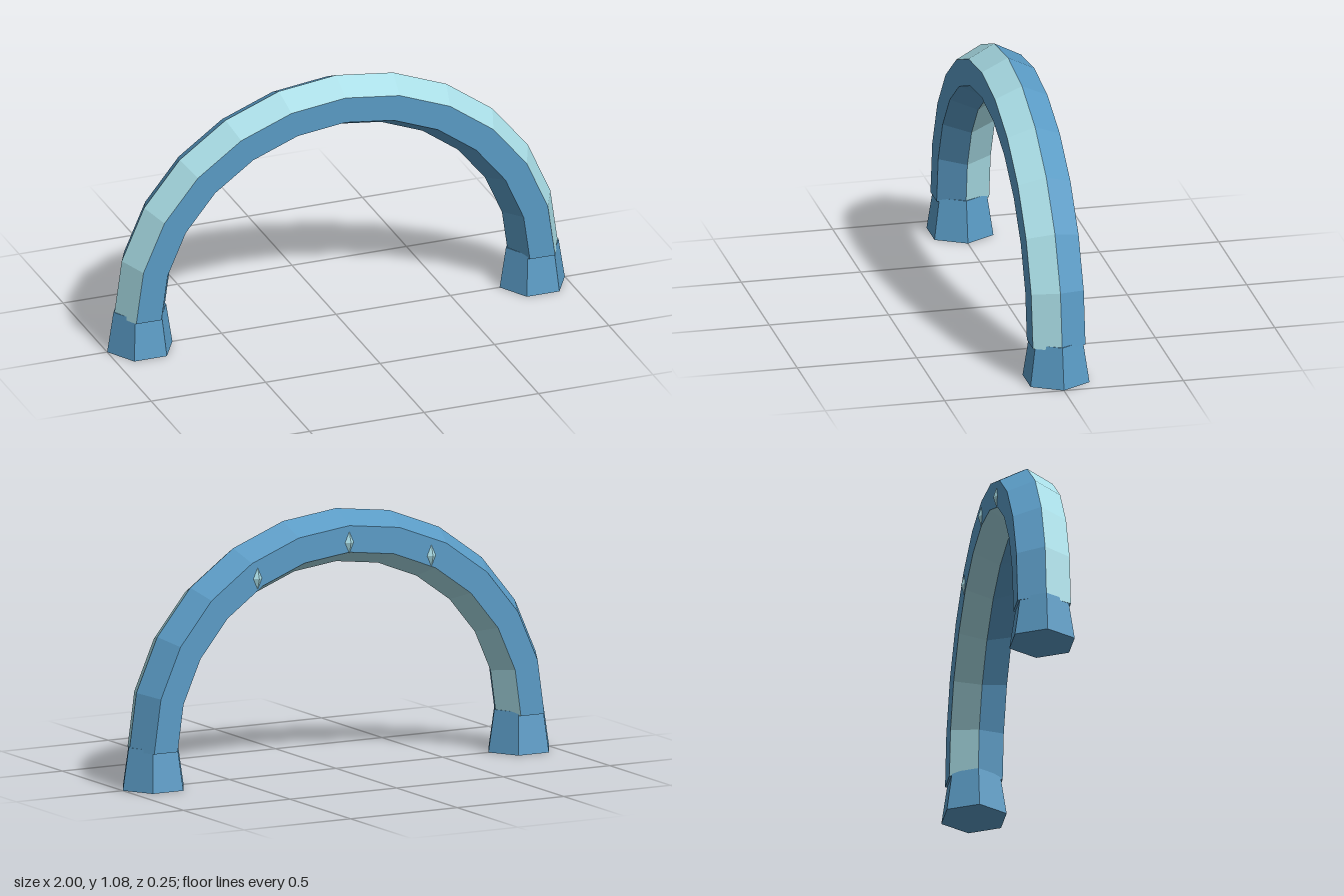
import * as THREE from 'three';

const SPAN = 0.86, RISE = 0.81, SPRING = 0.16, STEPS = 12;
// hexagonal section: [radial offset, z]
const HEX = [[0.11, 0], [0.055, 0.11], [-0.055, 0.11], [-0.11, 0], [-0.055, -0.11], [0.055, -0.11]];

// corner j of the section at step k along the half-ellipse
function corner(k, j) {
  const t = (k / STEPS - 0.5) * Math.PI;
  const n = new THREE.Vector2(Math.sin(t) / SPAN, Math.cos(t) / RISE).normalize();
  const [r, z] = HEX[j % 6];
  return [SPAN * Math.sin(t) + n.x * r, SPRING + RISE * Math.cos(t) + n.y * r, z];
}

// flat-shaded strips for the chosen sides of the hexagon
function archGeometry(sides, capped) {
  const pos = [];
  for (const j of sides) {
    for (let k = 0; k < STEPS; k++) {
      const a = corner(k, j), b = corner(k, j + 1), c = corner(k + 1, j + 1), d = corner(k + 1, j);
      pos.push(...a, ...b, ...c, ...a, ...c, ...d);
    }
  }
  if (capped) {
    for (let j = 1; j < 5; j++) {
      pos.push(...corner(0, 0), ...corner(0, j + 1), ...corner(0, j));
      pos.push(...corner(STEPS, 0), ...corner(STEPS, j), ...corner(STEPS, j + 1));
    }
  }
  const g = new THREE.BufferGeometry();
  g.setAttribute('position', new THREE.Float32BufferAttribute(pos, 3));
  g.computeVertexNormals();
  return g;
}

export function createModel() {
  const model = new THREE.Group();
  model.name = 'arch';
  const blue = new THREE.MeshStandardMaterial({ color: 0x5a9bc5 });
  blue.name = 'blue';
  const pale = new THREE.MeshStandardMaterial({ color: 0xa8dce5 });
  pale.name = 'pale aqua';

  function add(name, geometry, material, x = 0, y = 0, z = 0) {
    const mesh = new THREE.Mesh(geometry, material);
    mesh.name = name;
    mesh.position.set(x, y, z);
    model.add(mesh);
    return mesh;
  }

  // arch body with two pale bands: outer front and inner back
  add('archBody', archGeometry([1, 2, 4, 5], true), blue);
  add('paleBands', archGeometry([0, 3], false), pale);

  // tapered hexagonal feet
  const foot = new THREE.CylinderGeometry(0.115, 0.1425, 0.175, 6, 1, false, Math.PI / 2).toNonIndexed();
  foot.computeVertexNormals();
  add('leftFoot', foot, blue, 0.8575, 0.0875);
  add('rightFoot', foot, blue, -0.8575, 0.0875);

  // small crystal studs on the back
  const stud = new THREE.OctahedronGeometry(1).scale(0.02, 0.045, 0.014);
  stud.computeVertexNormals();
  [[0.43, 0.845], [0, 0.955], [-0.385, 0.865]].forEach(([x, y], i) =>
    add('crystalStud' + (i + 1), stud, pale, x, y, -0.11));

  return model;
}
